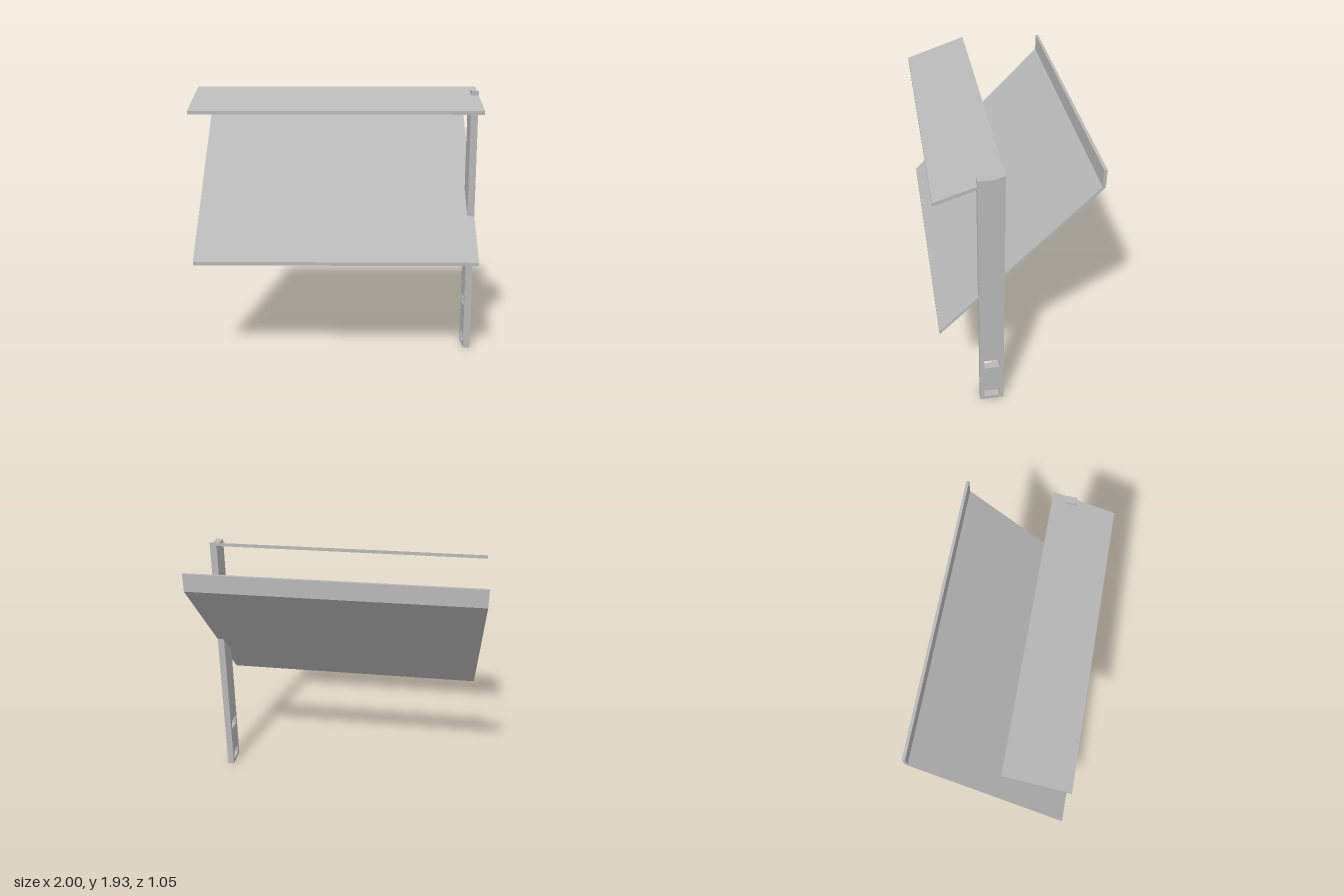
import * as THREE from 'three';

const toPoints = (list) => list.map(([z, y]) => new THREE.Vector2(z, y));

// Extrude a side profile given in (z, y) along x, from xMin to xMax
function sideProfile(name, material, outline, xMin, xMax, holes = []) {
  const shape = new THREE.Shape(toPoints(outline));
  for (const hole of holes) shape.holes.push(new THREE.Path(toPoints(hole)));
  const geometry = new THREE.ExtrudeGeometry(shape, { depth: xMax - xMin, bevelEnabled: false });
  geometry.rotateY(-Math.PI / 2).translate(xMax, 0, 0);
  const mesh = new THREE.Mesh(geometry, material);
  mesh.name = name;
  return mesh;
}

export function createModel() {
  const group = new THREE.Group();
  group.name = 'slopedShelfUnit';
  const metal = new THREE.MeshStandardMaterial({ color: 0xb8b8b8 });
  metal.name = 'lightGrey';

  // Upright post with two rectangular slots near the foot
  const slot = (y0, y1) => [[0.117, y0], [0.117, y1], [0.225, y1], [0.225, y0]];
  group.add(sideProfile('post', metal,
    [[0.087, 0], [0.255, 0], [0.255, 1.904], [0.158, 1.904], [0.087, 1.927]],
    0.95, 1, [slot(0.028, 0.1), slot(0.32, 0.394)]));

  // Shallow canopy sloping down to the front
  group.add(sideProfile('canopy', metal,
    [[0.087, 1.903], [0.523, 1.757], [0.523, 1.781], [0.087, 1.927]], -1, 1));

  // Steep panel rising to the back, folded into an upright lip
  group.add(sideProfile('slopedPanelWithLip', metal,
    [[0.523, 0.707], [0.523, 0.732], [-0.503, 1.785], [-0.503, 1.904],
      [-0.523, 1.904], [-0.523, 1.78]], -1, 1));

  return group;
}
